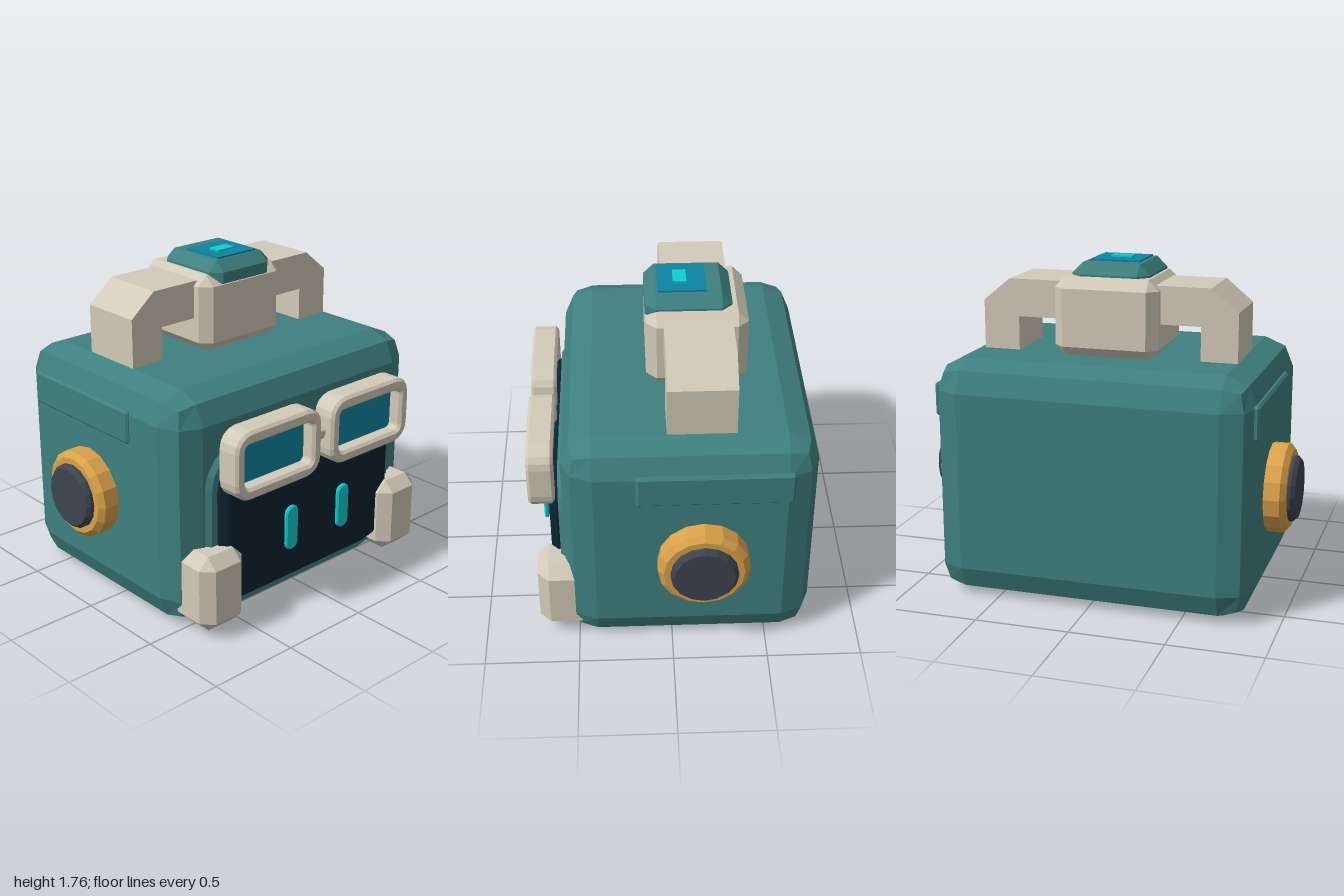
import * as THREE from 'three';
import { RoundedBoxGeometry } from 'three/addons/geometries/RoundedBoxGeometry.js';
import { ConvexGeometry } from 'three/addons/geometries/ConvexGeometry.js';

const paint = (name, color) => {
  const m = new THREE.MeshStandardMaterial({ color });
  m.name = name;
  return m;
};

// Facet the normals of a geometry
function faceted(geo) {
  const g = geo.index ? geo.toNonIndexed() : geo;
  g.computeVertexNormals();
  return g;
}

// Box given by its limits, with every edge cut by one chamfer c
function chamferBox(x0, x1, y0, y1, z0, z1, c) {
  const h = [(x1 - x0) / 2, (y1 - y0) / 2, (z1 - z0) / 2];
  const pts = [];
  for (const sx of [-1, 1]) for (const sy of [-1, 1]) for (const sz of [-1, 1])
    for (let full = 0; full < 3; full++) {
      const [x, y, z] = h.map((v, i) => (i === full ? v : v - c));
      pts.push(new THREE.Vector3(sx * x, sy * y, sz * z));
    }
  return new ConvexGeometry(pts).translate((x0 + x1) / 2, (y0 + y1) / 2, (z0 + z1) / 2);
}

// Rectangle with corners of radius r, drawn into a Shape or Path
function roundRect(p, x0, x1, y0, y1, r) {
  const q = Math.PI / 2;
  p.moveTo(x0 + r, y0);
  p.absarc(x1 - r, y0 + r, r, -q, 0);
  p.absarc(x1 - r, y1 - r, r, 0, q);
  p.absarc(x0 + r, y1 - r, r, q, 2 * q);
  p.absarc(x0 + r, y0 + r, r, 2 * q, 3 * q);
  p.closePath();
  return p;
}

// Plate between z0 and z1 with bevelled rims
function plate(shape, z0, z1, bevel) {
  return faceted(new THREE.ExtrudeGeometry(shape, {
    depth: z1 - z0 - 2 * bevel, bevelEnabled: bevel > 0, bevelThickness: bevel,
    bevelSize: bevel, bevelOffset: -bevel, bevelSegments: 1, curveSegments: 2,
  }).translate(0, 0, z0 + bevel));
}

export function createModel() {
  const root = new THREE.Group();
  root.name = 'robotHead';
  const teal = paint('teal shell', 0x3f8080);
  const beige = paint('warm beige', 0xd3cab9);
  const navy = paint('dark visor', 0x0d2230);
  const blue = paint('lens blue', 0x0d84a2);
  const cyan = paint('glow cyan', 0x10cdd0);
  const gold = paint('gold', 0xdba24a);
  const slate = paint('slate', 0x3d4450);
  const add = (name, geo, mat, parent = root) => {
    const m = new THREE.Mesh(geo, mat);
    m.name = name;
    parent.add(m);
    return m;
  };

  // Shell
  add('shell', faceted(new RoundedBoxGeometry(1.7, 1.27, 1.3, 1, 0.16).translate(0, 0.635, -0.09)), teal);

  // Face: raised rim and dark visor
  add('visorRim', plate(roundRect(new THREE.Shape(), -0.68, 0.68, 0.05, 0.985, 0.22), 0.5, 0.585, 0.025), teal);
  add('visor', plate(roundRect(new THREE.Shape(), -0.62, 0.62, 0.11, 0.92, 0.17), 0.53, 0.635, 0.035), navy);

  // Goggle bridge
  add('goggleBridge', chamferBox(-0.07, 0.07, 0.88, 0.955, 0.61, 0.69, 0.02), beige);

  // Paired parts
  for (const s of [1, -1]) {
    const side = new THREE.Group();
    side.name = s > 0 ? 'leftSide' : 'rightSide';
    root.add(side);
    const span = (a, b) => (s > 0 ? [a, b] : [-b, -a]);

    // Goggle frame and lens
    const frame = roundRect(new THREE.Shape(), ...span(0.035, 0.63), 0.735, 1.105, 0.1);
    frame.holes.push(roundRect(new THREE.Path(), ...span(0.1, 0.565), 0.8, 1.035, 0.03));
    add('goggleFrame', plate(frame, 0.6, 0.74, 0.015), beige, side);
    add('goggleLens', plate(roundRect(new THREE.Shape(), ...span(0.085, 0.58), 0.785, 1.05, 0.03), 0.635, 0.665, 0), blue, side);

    // Eye
    add('eye', plate(roundRect(new THREE.Shape(), ...span(0.147, 0.235), 0.322, 0.575, 0.042), 0.667, 0.692, 0.008), cyan, side);

    // Hand
    add('hand', chamferBox(...span(0.515, 0.8), 0.04, 0.46, 0.42, 0.71, 0.06), beige, side);

    // Raised strip on the side
    add('sideStrip', chamferBox(...span(0.8, 0.865), 0.95, 1.13, -0.61, 0.185, 0.012), teal, side);

    // Ear: gold ring and slate cap turned about the x axis
    const turn = (pts) => faceted(new THREE.LatheGeometry(pts.map(([r, h]) => new THREE.Vector2(r, h)), 16)
      .rotateZ(-s * Math.PI / 2).translate(0, 0.582, -0.158));
    add('earRing', turn([[0, 0.82], [0.238, 0.82], [0.238, 0.935], [0.208, 0.962], [0, 0.962]]), gold, side);
    add('earCap', turn([[0, 0.94], [0.175, 0.94], [0.175, 0.98], [0.157, 1], [0, 1]]), slate, side);
  }

  // Carrying handle
  const arch = new THREE.Shape([
    [-0.69, 1.24], [-0.495, 1.24], [-0.495, 1.45], [0.495, 1.45], [0.495, 1.24],
    [0.69, 1.24], [0.69, 1.53], [0.545, 1.65], [-0.545, 1.65], [-0.69, 1.53],
  ].map(([x, y]) => new THREE.Vector2(x, y)));
  add('handle', plate(arch, -0.325, 0.025, 0), beige);

  // Block on the handle with its lamp
  add('handleBlock', chamferBox(-0.28, 0.28, 1.265, 1.68, -0.41, 0.115, 0.055), beige);
  add('lampBase', chamferBox(-0.21, 0.21, 1.58, 1.745, -0.33, 0.117, 0.055), teal);
  add('lampPanel', new THREE.BoxGeometry(0.265, 0.009, 0.25).translate(0, 1.7495, -0.075), blue);
  add('lampLight', new THREE.BoxGeometry(0.115, 0.009, 0.07).translate(-0.003, 1.7585, -0.065), cyan);

  return root;
}
